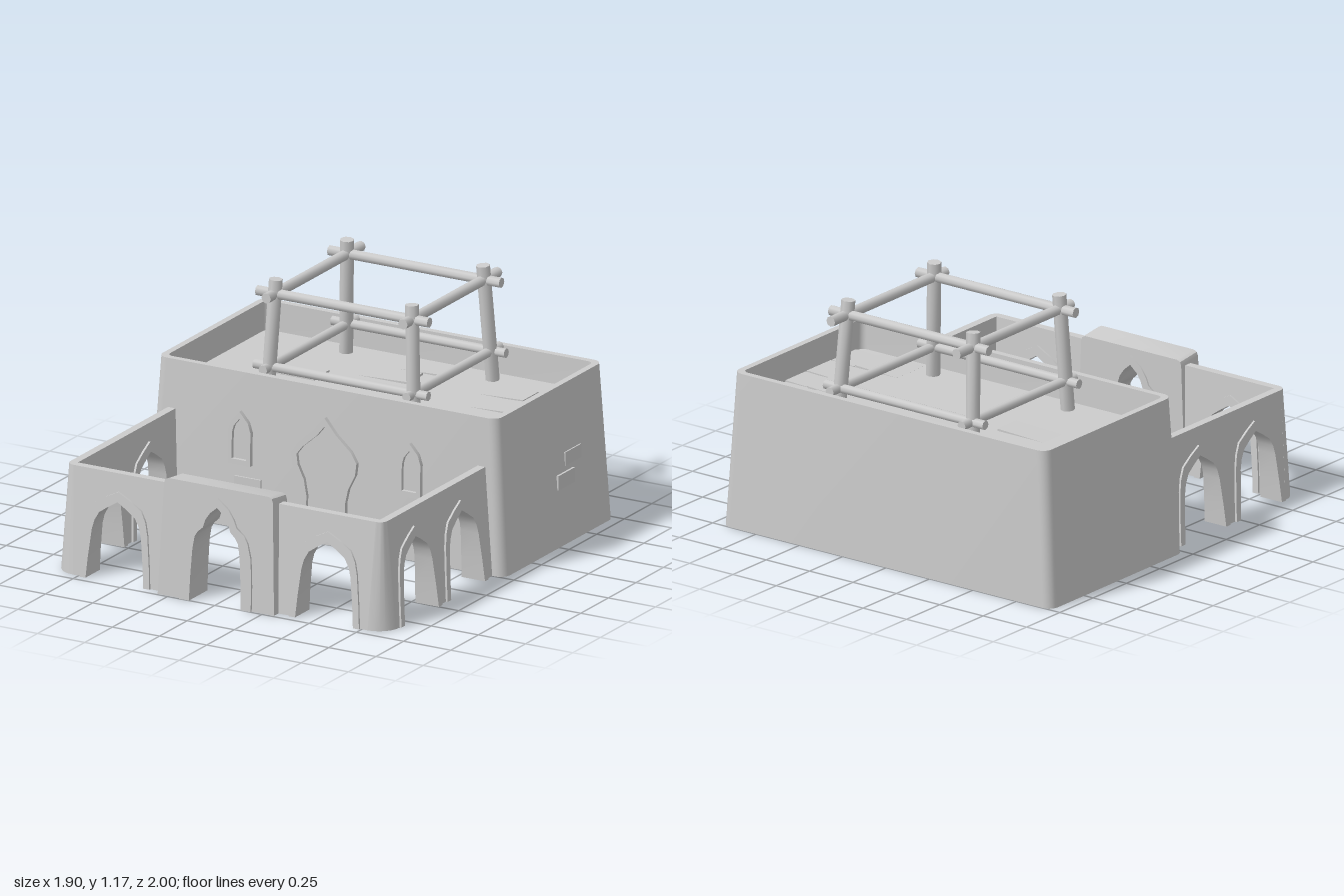
import * as THREE from 'three';
import { toCreasedNormals } from 'three/addons/utils/BufferGeometryUtils.js';

const material = new THREE.MeshStandardMaterial({ color: 0xcccccc, side: THREE.DoubleSide });
const ROOF = 0.61;

function add(parent, name, geometry, crease = 0.6) {
  const mesh = new THREE.Mesh(toCreasedNormals(geometry, crease), material);
  mesh.name = name;
  parent.add(mesh);
  return mesh;
}

// Half profiles [half width, height], from the foot to the apex
const ARCH_OUTER = [[0.185, 0], [0.178, 0.1], [0.163, 0.25], [0.15, 0.31], [0.125, 0.36], [0.06, 0.4], [0, 0.43]];
const ARCH_INNER = [[0.153, 0], [0.145, 0.1], [0.13, 0.235], [0.118, 0.28], [0.095, 0.32], [0.045, 0.355], [0, 0.382]];
const PORTAL_OUTER = [[0.19, 0], [0.19, 0.12], [0.183, 0.25], [0.165, 0.32], [0.145, 0.355], [0.105, 0.385], [0.09, 0.42], [0.06, 0.465], [0, 0.51]];
const PORTAL_INNER = [[0.137, 0], [0.133, 0.12], [0.125, 0.25], [0.115, 0.31], [0.1, 0.335], [0.073, 0.36], [0.06, 0.4], [0.035, 0.435], [0, 0.465]];
const DOOR_OUTER = [[0.115, 0], [0.115, 0.22], [0.13, 0.29], [0.165, 0.36], [0.172, 0.42], [0.14, 0.47], [0.06, 0.54], [0, 0.61]];
const DOOR_INNER = [[0.09, 0], [0.09, 0.225], [0.105, 0.3], [0.138, 0.365], [0.145, 0.415], [0.115, 0.455], [0.04, 0.52], [0, 0.57]];
const WINDOW_OUTER = [[0.06, 0.31], [0.06, 0.47], [0.045, 0.515], [0, 0.565]];
const WINDOW_INNER = [[0.038, 0.335], [0.038, 0.46], [0.028, 0.495], [0, 0.53]];

// Full outline from left foot over the apex to right foot
const outline = (half, c) => [
  ...half.map(([w, y]) => [c - w, y]),
  ...half.slice(0, -1).reverse().map(([w, y]) => [c + w, y]),
];
const toShape = (pts, sign = 1) => new THREE.Shape(pts.map(([x, y]) => new THREE.Vector2(x * sign, y)));

// Extrude a shape between two leaning planes, each [z at y = 0, slope per y]; hollow = no underside
function slab(shape, back, front, hollow = false) {
  const g = new THREE.ExtrudeGeometry(shape, { depth: 1, bevelEnabled: false }).toNonIndexed();
  const src = g.attributes.position, out = [];
  for (let i = 0; i < src.count; i += 3) {
    if (hollow && [0, 1, 2].every(k => src.getY(i + k) < 1e-4)) continue;
    for (let k = 0; k < 3; k++) {
      const y = src.getY(i + k), b = back[0] + back[1] * y, f = front[0] + front[1] * y;
      out.push(src.getX(i + k), y, b + (f - b) * src.getZ(i + k));
    }
  }
  const result = new THREE.BufferGeometry();
  result.setAttribute('position', new THREE.Float32BufferAttribute(out, 3));
  return result;
}

const band = (outer, inner, c, sign) => toShape([...outline(outer, c), ...outline(inner, c).reverse()], sign);

function bar(parent, name, a, b, radius) {
  const from = new THREE.Vector3(...a), to = new THREE.Vector3(...b);
  const dir = to.clone().sub(from);
  const mesh = add(parent, name, new THREE.CylinderGeometry(radius, radius, dir.length(), 8), 0.9);
  mesh.position.copy(from).add(to).multiplyScalar(0.5);
  mesh.quaternion.setFromUnitVectors(new THREE.Vector3(0, 1, 0), dir.normalize());
}

function brick(parent, name, x0, x1, y0, y1, z0, z1) {
  const m = add(parent, name, new THREE.BoxGeometry(x1 - x0, y1 - y0, z1 - z0));
  m.position.set((x0 + x1) / 2, (y0 + y1) / 2, (z0 + z1) / 2);
  return m;
}

// House shell: stacked rounded rectangles, open below, closed by the sunken roof
function houseGeometry() {
  const rings = [[0.95, 0.5, 0, 0.05], [0.9, 0.48, 0.75, 0.05], [0.868, 0.448, 0.75, 0.03], [0.866, 0.446, ROOF, 0.03]];
  const pos = [], idx = [], steps = 5, n = 4 * (steps + 1);
  for (const [hx, hz, y, r] of rings) {
    for (let q = 0; q < 4; q++) for (let s = 0; s <= steps; s++) {
      const a = (q + s / steps) * Math.PI / 2;
      const sx = q === 0 || q === 3 ? 1 : -1, sz = q < 2 ? 1 : -1;
      pos.push(sx * (hx - r) + r * Math.cos(a), y, sz * (hz - r) + r * Math.sin(a) - 0.5);
    }
  }
  for (let k = 0; k < rings.length - 1; k++) for (let i = 0; i < n; i++) {
    const a = k * n + i, b = k * n + (i + 1) % n;
    idx.push(a, a + n, b, b, a + n, b + n);
  }
  const last = (rings.length - 1) * n;
  pos.push(0, ROOF, -0.5);
  for (let i = 0; i < n; i++) idx.push(last + i, rings.length * n, last + (i + 1) % n);
  const g = new THREE.BufferGeometry();
  g.setAttribute('position', new THREE.Float32BufferAttribute(pos, 3));
  g.setIndex(idx);
  return g;
}

function buildHouse(root) {
  const house = new THREE.Group();
  house.name = 'house';
  root.add(house);
  add(house, 'houseShell', houseGeometry());

  // Door and windows follow the lean of the front wall
  const lean = -0.02 / 0.75;
  add(house, 'doorFrame', slab(band(DOOR_OUTER, DOOR_INNER, 0), [-0.005, lean], [0.022, lean]));
  add(house, 'doorPanel', slab(toShape(outline(DOOR_INNER, 0)), [-0.005, lean], [0.004, lean]));
  for (const s of [-1, 1]) {
    const frame = toShape(outline(WINDOW_OUTER, 0.45), s);
    frame.holes.push(toShape(outline(WINDOW_INNER, 0.45), s));
    add(house, 'windowFrame', slab(frame, [-0.005, lean], [0.022, lean]));
    add(house, 'windowPanel', slab(toShape(outline(WINDOW_INNER, 0.45), s), [-0.005, lean], [0.004, lean]));
  }

  // Exposed bricks; those on the roof tilt so one end sinks flush
  brick(house, 'frontBrick', -0.48, -0.34, 0.18, 0.25, -0.02, 0.002);
  brick(house, 'sideBrick', 0.92, 0.938, 0.27, 0.34, -0.66, -0.51);
  brick(house, 'sideBrick', 0.915, 0.928, 0.365, 0.43, -0.735, -0.59);
  const roofBricks = [
    [0.69, 0.865, -0.93, -0.8], [0.43, 0.67, -0.79, -0.65], [0.68, 0.865, -0.78, -0.66],
    [0.49, 0.73, -0.64, -0.47], [0.74, 0.865, -0.63, -0.48], [0.66, 0.865, -0.47, -0.29],
    [0.49, 0.73, -0.28, -0.08], [0.74, 0.865, -0.28, -0.1], [-0.2, 0.08, -0.75, -0.6],
    [-0.59, -0.31, -0.57, -0.43], [-0.08, 0.2, -0.92, -0.77],
  ];
  for (const [x0, x1, z0, z1] of roofBricks)
    brick(house, 'roofBrick', x0, x1, ROOF - 0.015, ROOF + 0.005, z0, z1).rotation.z = 0.04;
}

// Timber frame on the roof: leaning posts with crossed beams above and below
function buildRoofFrame(root) {
  const frame = new THREE.Group();
  frame.name = 'roofFrame';
  root.add(frame);
  for (const s of [-1, 1]) {
    for (const [zTop, zLow] of [[-0.17, -0.142], [-0.815, -0.855]])
      bar(frame, 'post', [s * 0.388, ROOF, zLow], [s * 0.36, 1.17, zTop], 0.033);
    bar(frame, 'upperSideBeam', [s * 0.362, 1.1, -0.085], [s * 0.362, 1.1, -0.945], 0.025);
    bar(frame, 'lowerSideBeam', [s * 0.38, 0.75, -0.085], [s * 0.38, 0.75, -0.93], 0.023);
  }
  for (const z of [-0.168, -0.82]) bar(frame, 'upperCrossBeam', [-0.455, 1.1, z], [0.455, 1.1, z], 0.025);
  for (const z of [-0.15, -0.855]) bar(frame, 'lowerCrossBeam', [-0.46, 0.75, z], [0.46, 0.75, z], 0.023);
}

// Courtyard: tapering arcade walls, rounded corners and a raised portal
function buildCourtyard(root) {
  const yard = new THREE.Group();
  yard.name = 'courtyard';
  root.add(yard);
  const H = 0.515;

  function arcade(name, start, end, endTop, centers, sign, back, front, turn) {
    const pts = [[start, 0], ...centers.flatMap(c => outline(ARCH_OUTER, c)), [end, 0], [endTop, H], [start, H]];
    add(yard, name, slab(toShape(pts, sign), back, front, true)).rotation.y = turn;
    for (const c of centers)
      add(yard, 'archFrame', slab(band(ARCH_OUTER, ARCH_INNER, c, sign),
        [back[0] - 0.01, back[1]], [front[0] + 0.01, front[1]], true)).rotation.y = turn;
  }

  for (const s of [-1, 1]) {
    arcade('frontWall', 0.28, 0.78, 0.8, [0.555], s, [0.84, 0.03 / H], [0.95, -0.04 / H], 0);
    arcade('sideWall', -0.015, 0.845, 0.87, [0.235, 0.653], -s, [0.78, 0.02 / H], [0.885, -0.045 / H], s * Math.PI / 2);

    // Corner: quarter cone whose axis follows the inner edge
    const corner = new THREE.CylinderGeometry(0.04, 0.108, H, 6, 1, true, s > 0 ? 0 : -Math.PI / 2, Math.PI / 2);
    corner.translate(0, H / 2, 0);
    const p = corner.attributes.position;
    for (let i = 0; i < p.count; i++) {
      const t = p.getY(i) / H;
      p.setX(i, p.getX(i) + s * (0.78 + 0.02 * t));
      p.setZ(i, p.getZ(i) + 0.842 + 0.028 * t);
    }
    add(yard, 'wallCorner', corner);
    const cap = new THREE.CircleGeometry(0.04, 6, s > 0 ? -Math.PI / 2 : Math.PI, Math.PI / 2);
    cap.rotateX(-Math.PI / 2).translate(s * 0.8, H, 0.87);
    add(yard, 'cornerTop', cap);
  }

  // Portal: its top slopes down a little towards the courtyard
  const portal = [[-0.308, 0], ...outline(PORTAL_OUTER, 0), [0.308, 0], [0.288, 0.535], [0.282, 0.552],
    [0.265, 0.56], [-0.265, 0.56], [-0.282, 0.552], [-0.288, 0.535]];
  const body = slab(toShape(portal), [0.84, 0], [0.99, -0.045], true);
  const p = body.attributes.position;
  for (let i = 0; i < p.count; i++) if (p.getY(i) > 0.53 && p.getZ(i) < 0.85) p.setY(i, p.getY(i) - 0.015);
  add(yard, 'portal', body);
  add(yard, 'portalFrame', slab(band(PORTAL_OUTER, PORTAL_INNER, 0), [0.832, 0], [1, -0.045], true));
}

export function createModel() {
  const root = new THREE.Group();
  root.name = 'courtyardHouse';
  buildHouse(root);
  buildRoofFrame(root);
  buildCourtyard(root);
  return root;
}
